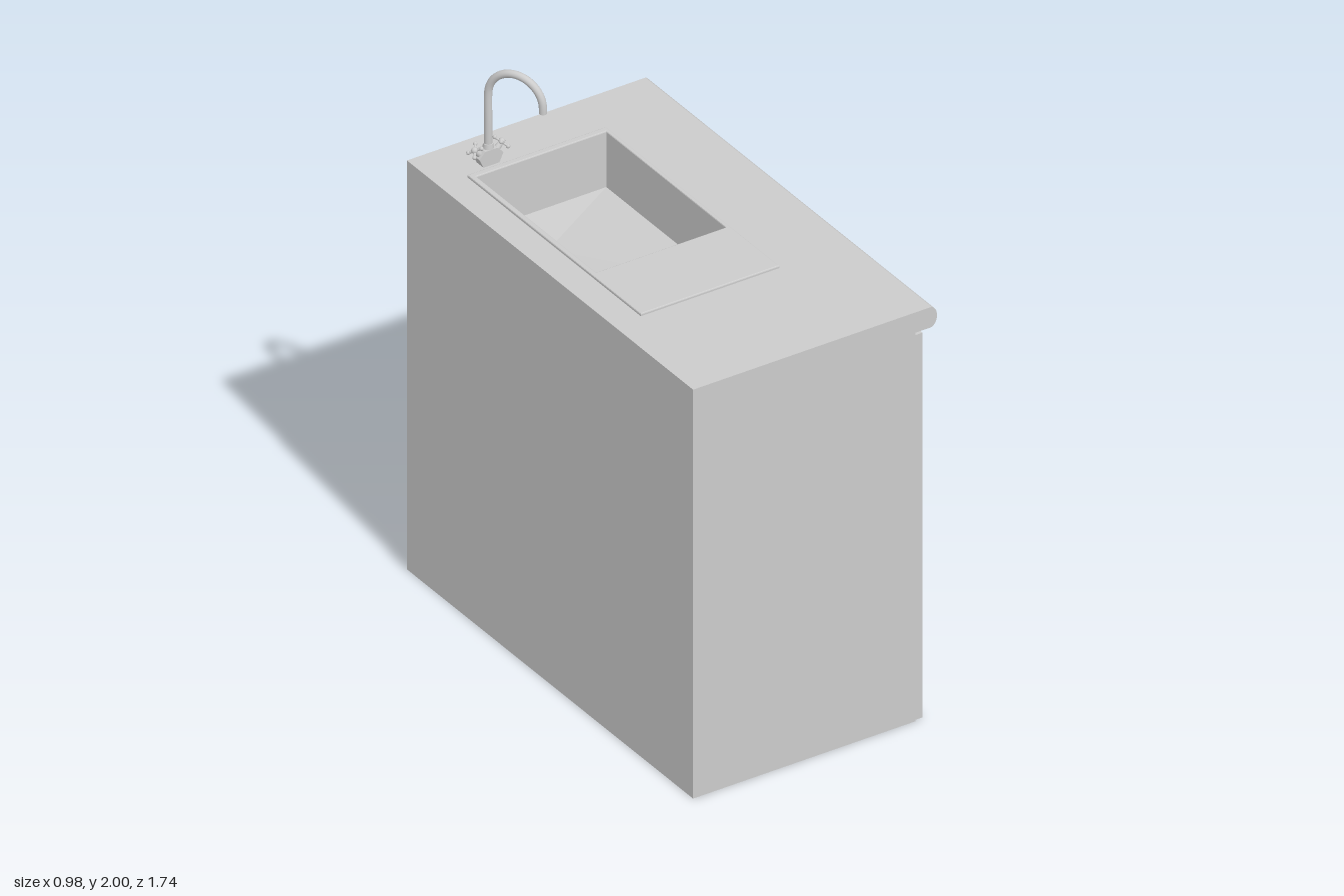
import * as THREE from 'three';
import { toCreasedNormals } from 'three/addons/utils/BufferGeometryUtils.js';

const material = new THREE.MeshStandardMaterial({ color: 0xcccccc });
const twoSided = new THREE.MeshStandardMaterial({ color: 0xcccccc, side: THREE.DoubleSide });

function add(parent, name, geometry, x = 0, y = 0, z = 0, mat = material) {
  const mesh = new THREE.Mesh(geometry, mat);
  mesh.name = name;
  mesh.position.set(x, y, z);
  parent.add(mesh);
  return mesh;
}

function group(parent, name, x = 0, y = 0, z = 0) {
  const g = new THREE.Group();
  g.name = name;
  g.position.set(x, y, z);
  parent.add(g);
  return g;
}

const polygon = (pts) => new THREE.Shape(pts.map(([x, y]) => new THREE.Vector2(x, y)));

// Profile in x/y, extruded along z and centred on z = 0
function extrudeZ(shape, depth) {
  const g = new THREE.ExtrudeGeometry(shape, { depth, bevelEnabled: false, curveSegments: 8 });
  return g.translate(0, 0, -depth / 2);
}

const rect = ([x0, x1, z0, z1]) => polygon([[x0, -z1], [x1, -z1], [x1, -z0], [x0, -z0]]);

// Upright rectangular frame from y0 to y1 around an opening
function frame(outer, hole, y0, y1, bevel = 0) {
  const shape = rect(outer);
  shape.holes.push(rect(hole));
  const g = new THREE.ExtrudeGeometry(shape, {
    depth: y1 - y0 - 2 * bevel, bevelEnabled: bevel > 0,
    bevelThickness: bevel, bevelSize: bevel, bevelOffset: -bevel, bevelSegments: 2,
  });
  return g.rotateX(-Math.PI / 2).translate(0, y0 + bevel, 0);
}

// Open bowl made from stacked rectangles [x0, x1, z0, z1, y], seen from inside
function bowl(levels) {
  const pos = [];
  const loops = levels.map(([x0, x1, z0, z1, y]) => [[x0, y, z0], [x1, y, z0], [x1, y, z1], [x0, y, z1]]);
  for (let k = 0; k < loops.length - 1; k++) {
    for (let i = 0; i < 4; i++) {
      const j = (i + 1) % 4;
      const [a, b, c, d] = [loops[k][i], loops[k][j], loops[k + 1][j], loops[k + 1][i]];
      pos.push(...a, ...d, ...c, ...a, ...c, ...b);
    }
  }
  const [p, q, r, s] = loops[loops.length - 1];
  pos.push(...p, ...r, ...q, ...p, ...s, ...r);
  const g = new THREE.BufferGeometry();
  g.setAttribute('position', new THREE.Float32BufferAttribute(pos, 3));
  g.computeVertexNormals();
  return g;
}

// Cross-shaped tap knob whose axis is +y
function tapKnob(parent, name) {
  const knob = group(parent, name);
  add(knob, 'knobStem', new THREE.CylinderGeometry(0.009, 0.012, 0.03, 12), 0, 0.012, 0);
  add(knob, 'knobHub', new THREE.SphereGeometry(0.012, 12, 8), 0, 0.027, 0);
  for (let i = 0; i < 4; i++) {
    const arm = group(knob, 'knobArm', 0, 0.025, 0);
    arm.rotation.y = Math.PI / 4 + i * Math.PI / 2;
    const spoke = add(arm, 'spoke', new THREE.CylinderGeometry(0.005, 0.004, 0.026, 8), 0.014, 0, 0);
    spoke.rotation.z = -Math.PI / 2;
    add(arm, 'spokeTip', new THREE.SphereGeometry(0.0075, 10, 8), 0.027, 0, 0);
  }
  return knob;
}

export function createModel() {
  const model = new THREE.Group();
  model.name = 'sinkCabinet';

  // Cabinet body with the opening for the sink
  const opening = [-0.36, 0.16, -0.645, 0.083];
  const cutout = [-0.365, 0.165, -0.65, 0.088];
  add(model, 'cabinetBody', frame([-0.49, 0.4, -0.87, 0.87], cutout, 0, 1.61));
  add(model, 'cabinetBase', new THREE.BoxGeometry(0.53, 0.03, 0.738), -0.1, 0.015, -0.281);

  // Rounded front edge of the worktop
  const lip = new THREE.Shape();
  lip.moveTo(0.4, 1.53);
  lip.lineTo(0.465, 1.53);
  lip.bezierCurveTo(0.477, 1.535, 0.487, 1.55, 0.487, 1.57);
  lip.bezierCurveTo(0.487, 1.59, 0.477, 1.605, 0.465, 1.61);
  lip.lineTo(0.4, 1.61);
  add(model, 'worktopEdge', toCreasedNormals(extrudeZ(lip, 1.74), 0.45));

  // Pair of doors with bent strip handles
  const strip = polygon([
    [0.43, 1.465], [0.473, 1.412], [0.473, 1.185], [0.43, 1.135],
    [0.43, 1.147], [0.465, 1.188], [0.465, 1.409], [0.43, 1.453],
  ]);
  for (const [side, s] of [['left', -1], ['right', 1]]) {
    add(model, side + 'Door', new THREE.BoxGeometry(0.028, 1.515, 0.864), 0.416, 0.7625, s * 0.437);
    add(model, side + 'DoorHandle', extrudeZ(strip, 0.056), 0, 0, s * 0.125);
  }

  // Sink: rim with draining board, and basin falling to a square drain
  add(model, 'sinkRim', frame([-0.38, 0.175, -0.67, 0.385], opening, 1.6, 1.62, 0.004));
  const drain = [-0.222, -0.176, -0.462, -0.416];
  add(model, 'basin', bowl([
    [...opening, 1.613], [...opening, 1.4], [...drain, 1.38], [...drain, 1.35],
  ]), 0, 0, 0, twoSided);

  // Tap: angular body, two tilted knobs and a swivelled swan-neck spout
  const tap = group(model, 'tap', -0.27, 1.61, -0.71);
  const body = polygon([
    [-0.032, 0], [0.032, 0], [0.048, 0.035], [0.024, 0.06], [-0.024, 0.06], [-0.048, 0.035],
  ]);
  add(tap, 'tapBody', extrudeZ(body, 0.04));
  for (const [side, s] of [['left', 1], ['right', -1]]) {
    const knob = tapKnob(tap, side + 'Knob');
    knob.position.set(s * 0.036, 0.046, 0);
    knob.rotation.z = -s * 0.75;
  }

  const spout = group(tap, 'spout');
  spout.rotation.y = -Math.atan2(0.185, 0.1);
  const bend = 0.104;
  const path = new THREE.CurvePath();
  const points = [new THREE.Vector3(0, 0.05, 0), new THREE.Vector3(0, 0.16, 0)];
  for (let i = 0; i <= 12; i++) {
    const a = Math.PI * (1 - i / 12);
    points.push(new THREE.Vector3(bend + bend * Math.cos(a), 0.272 + bend * Math.sin(a), 0));
  }
  points.push(new THREE.Vector3(2 * bend, 0.255, 0));
  const curve = new THREE.CatmullRomCurve3(points);
  add(spout, 'spoutPipe', new THREE.TubeGeometry(curve, 48, 0.014, 16), 0, 0, 0, twoSided);
  add(spout, 'spoutCollar', new THREE.CylinderGeometry(0.017, 0.02, 0.02, 16), 0, 0.068, 0);

  return model;
}
